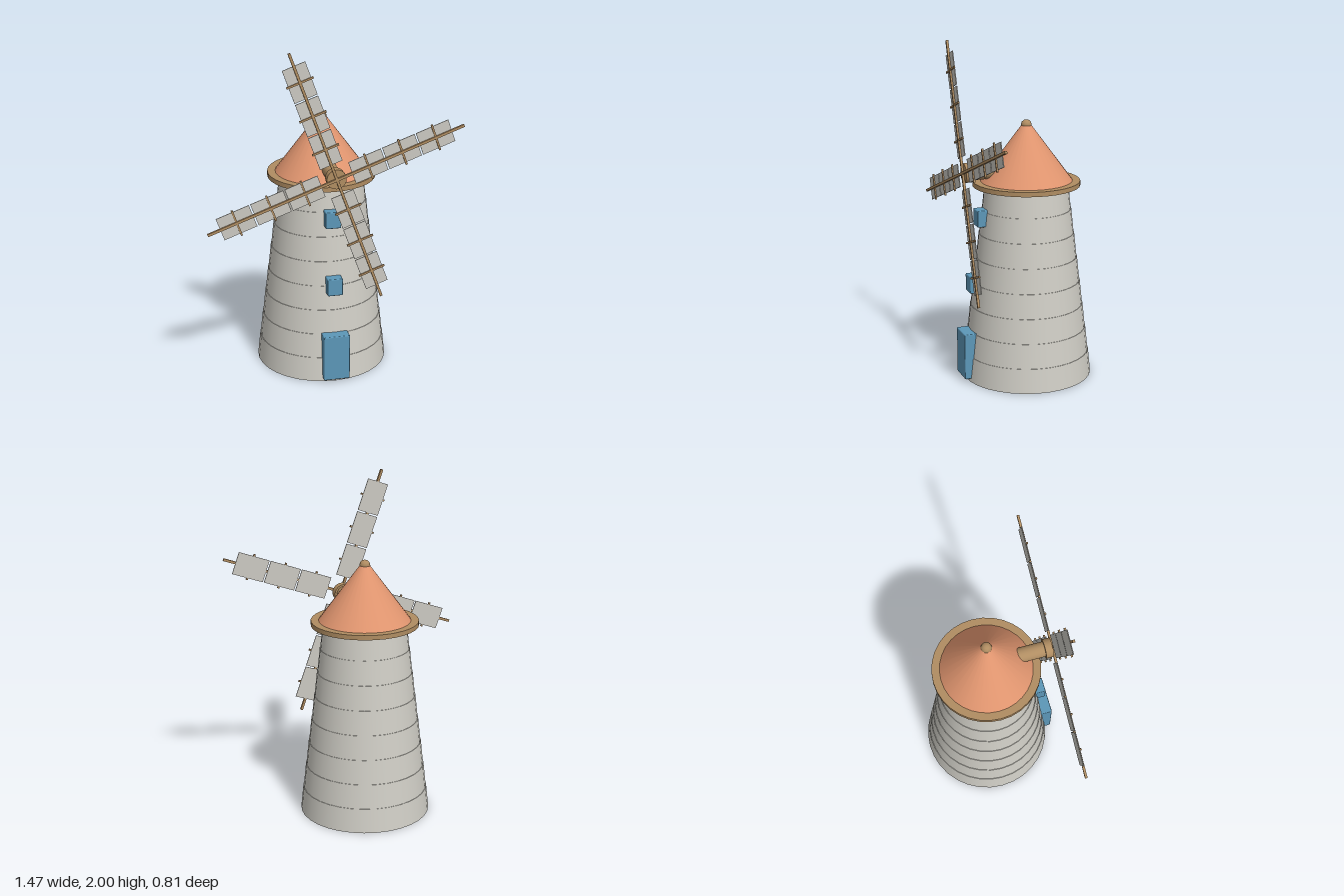
import * as THREE from 'three';
import { RoundedBoxGeometry } from 'three/addons/geometries/RoundedBoxGeometry.js';

const material = (name, color) => {
  const m = new THREE.MeshStandardMaterial({ color });
  m.name = name;
  return m;
};

export function createModel() {
  const stone = material('pale stone', 0xd0cec6);
  const canvas = material('sail canvas', 0xcbc9c2);
  const wood = material('wood', 0xb08d62);
  const tile = material('terracotta', 0xe0956f);
  const blue = material('blue paint', 0x5c97b8);

  const model = new THREE.Group();
  model.name = 'windmill';
  const add = (parent, name, geometry, mat, x = 0, y = 0, z = 0) => {
    const mesh = new THREE.Mesh(geometry, mat);
    mesh.name = name;
    mesh.position.set(x, y, z);
    parent.add(mesh);
    return mesh;
  };
  const axisZ = -0.012;

  // Tapered tower of eight courses, each with a slight ledge
  const tower = new THREE.Group();
  tower.name = 'tower';
  model.add(tower);
  const courses = 8, courseHeight = 0.146, ledge = 0.003;
  const radiusAt = (i) => 0.39 - (0.145 * i) / courses;
  for (let i = 0; i < courses; i++) {
    const g = new THREE.CylinderGeometry(radiusAt(i + 1) + ledge, radiusAt(i), courseHeight, 32);
    add(tower, 'stoneCourse', g, stone, 0, (i + 0.5) * courseHeight, axisZ);
  }

  // Cap: brim, conical roof and finial
  add(model, 'roofBrim', new THREE.CylinderGeometry(0.318, 0.318, 0.028, 32), wood, 0, 1.177, axisZ);
  add(model, 'roof', new THREE.CylinderGeometry(0.025, 0.273, 0.335, 32), tile, 0, 1.357, axisZ);
  add(model, 'finial', new THREE.SphereGeometry(0.032, 12, 6), wood, 0, 1.52, axisZ);

  // Door and windows
  const opening = (name, w, h, d, y, frontZ) =>
    add(model, name, new RoundedBoxGeometry(w, h, d, 2, 0.006), blue, 0, y, frontZ - d / 2);
  opening('door', 0.156, 0.28, 0.08, 0.16, 0.405);
  opening('lowerWindow', 0.09, 0.104, 0.07, 0.592, 0.357);
  opening('upperWindow', 0.09, 0.1, 0.07, 0.988, 0.305);

  // Windshaft and hub
  const hubY = 1.262;
  add(model, 'windshaft', new THREE.CylinderGeometry(0.045, 0.045, 0.3, 24), wood, 0, hubY, 0.22)
    .rotation.x = Math.PI / 2;
  add(model, 'hub', new THREE.CylinderGeometry(0.057, 0.057, 0.045, 24), wood, 0, hubY, 0.3535)
    .rotation.x = Math.PI / 2;

  // Four sails, each a spar with three canvas panels and crossbars
  const sails = new THREE.Group();
  sails.name = 'sails';
  sails.position.set(0, hubY, 0.38);
  model.add(sails);
  const sparLength = 0.782;
  for (let k = 0; k < 4; k++) {
    const sail = new THREE.Group();
    sail.name = 'sail';
    sail.rotation.z = THREE.MathUtils.degToRad(20 + 90 * k);
    sails.add(sail);
    add(sail, 'spar', new THREE.BoxGeometry(sparLength, 0.015, 0.014), wood, sparLength / 2, 0, 0.001);
    for (let i = 0; i < 3; i++) {
      const u = 0.193 + i * 0.207;
      add(sail, 'sailPanel', new THREE.BoxGeometry(0.198, 0.136, 0.005), canvas, u, 0, -0.005);
      add(sail, 'crossbar', new THREE.BoxGeometry(0.011, 0.16, 0.01), wood, u, 0, 0);
    }
  }
  return model;
}
